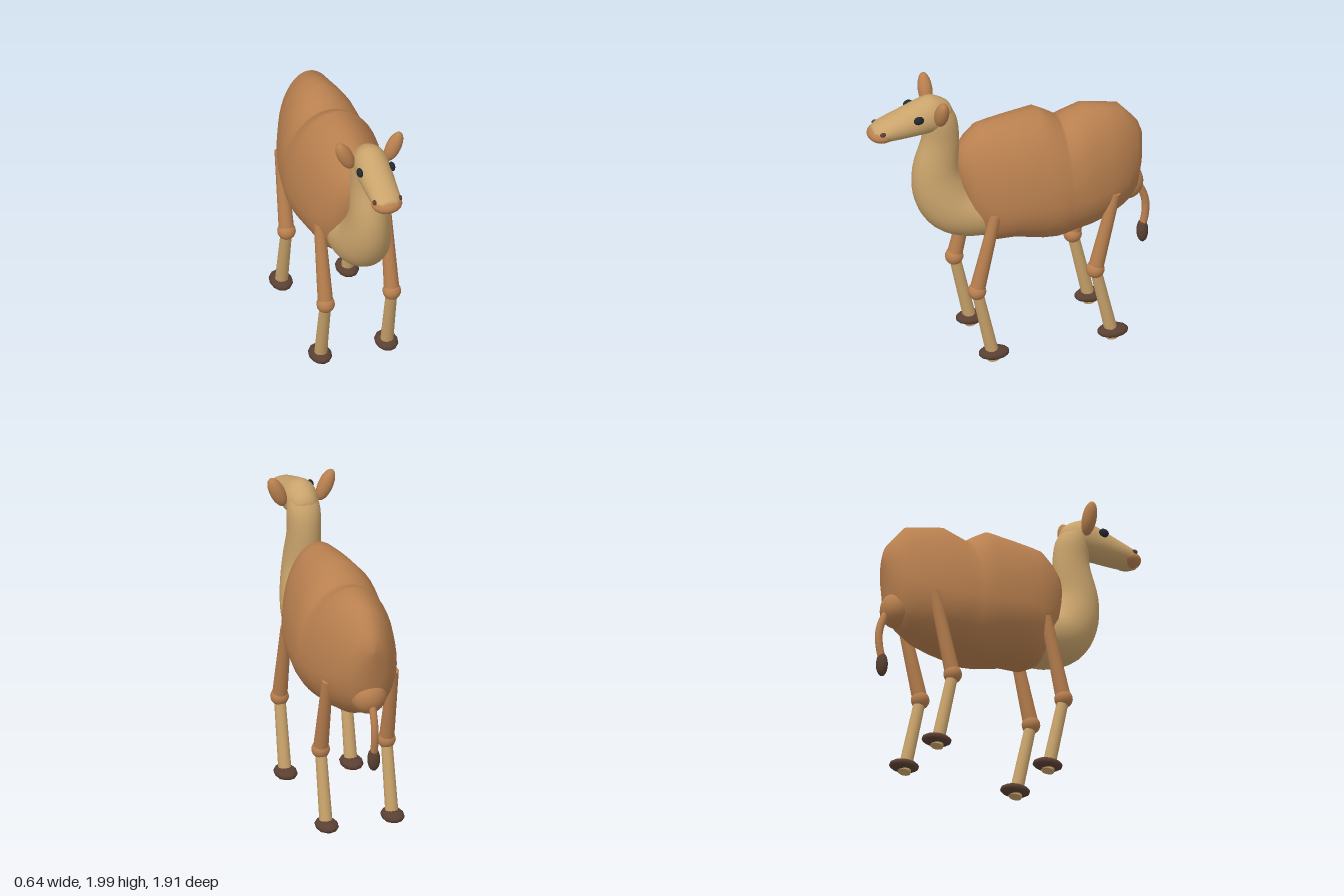
import * as THREE from 'three';

const mat = (color) => new THREE.MeshStandardMaterial({ color, roughness: 0.9 });
const COAT = mat(0xb9804f), TAN = mat(0xc9a36b), DARK = mat(0x5a4033), BLACK = mat(0x22282e);

function add(group, name, geometry, material) {
  const mesh = new THREE.Mesh(geometry, material);
  mesh.name = name;
  group.add(mesh);
  return mesh;
}

// Catmull-Rom refinement of rows of section values
function refine(rows, steps) {
  const out = [];
  for (let i = 0; i < rows.length - 1; i++) {
    const [a, b, c, d] = [-1, 0, 1, 2].map((k) => rows[Math.min(rows.length - 1, Math.max(0, i + k))]);
    for (let s = 0; s < steps; s++) {
      const t = s / steps;
      out.push(b.map((v, k) => 0.5 * (2 * v + (c[k] - a[k]) * t
        + (2 * a[k] - 5 * v + 4 * c[k] - d[k]) * t * t + (3 * v - a[k] - 3 * c[k] + d[k]) * t ** 3)));
    }
  }
  out.push(rows[rows.length - 1]);
  return out;
}

// Skin over oval sections [z, y, up, down, halfWidth]; followPath tilts sections to the path
function loft(rows, followPath, sides = 32) {
  const pos = [], idx = [], n = rows.length;
  rows.forEach(([z, y, up, down, w], i) => {
    const p = rows[Math.max(0, i - 1)], q = rows[Math.min(n - 1, i + 1)];
    let tz = 1, ty = 0;
    if (followPath) {
      const len = Math.hypot(q[0] - p[0], q[1] - p[1]);
      tz = (q[0] - p[0]) / len;
      ty = (q[1] - p[1]) / len;
    }
    for (let j = 0; j < sides; j++) {
      const a = (j / sides) * Math.PI * 2, s = Math.sin(a), h = s * (s > 0 ? up : down);
      pos.push(Math.cos(a) * w, y + h * tz, z - h * ty);
    }
  });
  for (let i = 0; i < n - 1; i++) {
    for (let j = 0; j < sides; j++) {
      const a = i * sides + j, b = i * sides + (j + 1) % sides;
      idx.push(a, b, a + sides, b, b + sides, a + sides);
    }
  }
  // end caps
  const first = n * sides, last = (n - 1) * sides;
  pos.push(0, rows[0][1], rows[0][0], 0, rows[n - 1][1], rows[n - 1][0]);
  for (let j = 0; j < sides; j++) {
    const k = (j + 1) % sides;
    idx.push(first, k, j, first + 1, last + j, last + k);
  }
  const g = new THREE.BufferGeometry();
  g.setAttribute('position', new THREE.Float32BufferAttribute(pos, 3));
  g.setIndex(idx);
  g.computeVertexNormals();
  return g;
}

function ellipsoid(group, name, material, [x, y, z], [rx, ry, rz], ws = 20, hs = 14) {
  const mesh = add(group, name, new THREE.SphereGeometry(1, ws, hs), material);
  mesh.position.set(x, y, z);
  mesh.scale.set(rx, ry, rz);
  return mesh;
}

// Tapered round bar between two points
function limb(group, name, material, from, to, rFrom, rTo) {
  const a = new THREE.Vector3(...from), b = new THREE.Vector3(...to), d = b.clone().sub(a);
  const mesh = add(group, name, new THREE.CylinderGeometry(rTo, rFrom, d.length(), 14), material);
  mesh.position.copy(a).add(b).multiplyScalar(0.5);
  mesh.quaternion.setFromUnitVectors(new THREE.Vector3(0, 1, 0), d.normalize());
  return mesh;
}

function createLeg(name, side, hip, knee, ankle) {
  const leg = new THREE.Group(), x = 0.223 * side;
  leg.name = name;
  limb(leg, 'upperLeg', COAT, [x, 1.1, hip], [x, 0.55, knee], 0.036, 0.05);
  ellipsoid(leg, 'knee', COAT, [x, 0.548, knee], [0.06, 0.06, 0.06], 16, 12);
  limb(leg, 'lowerLeg', TAN, [x, 0.55, knee], [x, 0.015, ankle], 0.037, 0.043);
  ellipsoid(leg, 'foot', DARK, [x, 0.06, ankle], [0.075, 0.038, 0.103], 12, 8);
  return leg;
}

export function createModel() {
  const model = new THREE.Group();
  model.name = 'camel';

  // Torso with two humps: [z, bottom, centre, top, halfWidth]
  const torso = [
    [-0.9, 1.32, 1.36, 1.4, 0.025],
    [-0.875, 1.1, 1.29, 1.47, 0.095],
    [-0.84, 0.94, 1.22, 1.515, 0.14],
    [-0.75, 0.885, 1.17, 1.62, 0.205],
    [-0.64, 0.83, 1.14, 1.64, 0.25],
    [-0.51, 0.8, 1.12, 1.665, 0.285],
    [-0.41, 0.785, 1.12, 1.625, 0.302],
    [-0.35, 0.77, 1.12, 1.6, 0.306],
    [-0.33, 0.765, 1.12, 1.61, 0.312],
    [-0.28, 0.76, 1.12, 1.645, 0.317],
    [-0.19, 0.77, 1.12, 1.7, 0.318],
    [0, 0.815, 1.13, 1.68, 0.298],
    [0.12, 0.81, 1.14, 1.668, 0.268],
    [0.2, 0.85, 1.17, 1.657, 0.235],
    [0.28, 0.93, 1.24, 1.59, 0.18],
    [0.335, 1.18, 1.35, 1.525, 0.11],
    [0.358, 1.32, 1.38, 1.44, 0.04],
  ].map(([z, b, c, t, w]) => [z, c, t - c, c - b, w]);
  add(model, 'humpedTorso', loft(torso, false, 40), COAT);
  ellipsoid(model, 'tailBase', COAT, [0, 1.03, -0.8], [0.12, 0.12, 0.11]);

  // Neck, curving from the chest up to the skull
  const neck = [
    [0.14, 1.05, 0.17, 0.19, 0.19],
    [0.26, 1.05, 0.17, 0.19, 0.19],
    [0.38, 1.11, 0.17, 0.195, 0.178],
    [0.46, 1.23, 0.17, 0.18, 0.152],
    [0.49, 1.39, 0.15, 0.155, 0.125],
    [0.46, 1.6, 0.125, 0.125, 0.108],
    [0.465, 1.76, 0.108, 0.11, 0.11],
    [0.505, 1.86, 0.07, 0.09, 0.09],
  ];
  add(model, 'neck', loft(refine(neck, 4), true), TAN);

  // Head, tapering towards the muzzle
  const skull = [
    [0.385, 1.81, 0.03, 0.03, 0.03],
    [0.41, 1.81, 0.075, 0.065, 0.07],
    [0.47, 1.81, 0.115, 0.1, 0.1],
    [0.54, 1.81, 0.135, 0.12, 0.112],
    [0.65, 1.79, 0.118, 0.105, 0.11],
    [0.77, 1.77, 0.09, 0.09, 0.102],
    [0.87, 1.755, 0.063, 0.073, 0.092],
    [0.925, 1.74, 0.045, 0.045, 0.06],
  ];
  add(model, 'head', loft(refine(skull, 3), false), TAN);
  ellipsoid(model, 'muzzle', COAT, [0, 1.738, 0.862], [0.102, 0.055, 0.09]);

  for (const [label, s] of [['left', 1], ['right', -1]]) {
    ellipsoid(model, label + 'Eye', BLACK, [0.108 * s, 1.845, 0.64], [0.02, 0.029, 0.034]);
    ellipsoid(model, label + 'Nostril', DARK, [0.085 * s, 1.772, 0.875], [0.014, 0.016, 0.02], 12, 8);
    const ear = ellipsoid(model, label + 'Ear', COAT, [0.163 * s, 1.895, 0.505], [0.05, 0.112, 0.047]);
    ear.rotation.z = -0.42 * s;
    model.add(createLeg(label + 'FrontLeg', s, 0.16, 0.287, 0.172));
    model.add(createLeg(label + 'HindLeg', s, -0.648, -0.515, -0.632));
  }

  // Tail with a dark tuft
  const tailPath = new THREE.CatmullRomCurve3([
    [1.03, -0.85], [0.95, -0.9], [0.85, -0.93], [0.76, -0.93], [0.66, -0.91],
  ].map(([y, z]) => new THREE.Vector3(0, y, z)));
  add(model, 'tail', new THREE.TubeGeometry(tailPath, 20, 0.025, 10), COAT);
  ellipsoid(model, 'tailTuft', DARK, [0, 0.625, -0.91], [0.042, 0.082, 0.038], 14, 10);

  return model;
}
